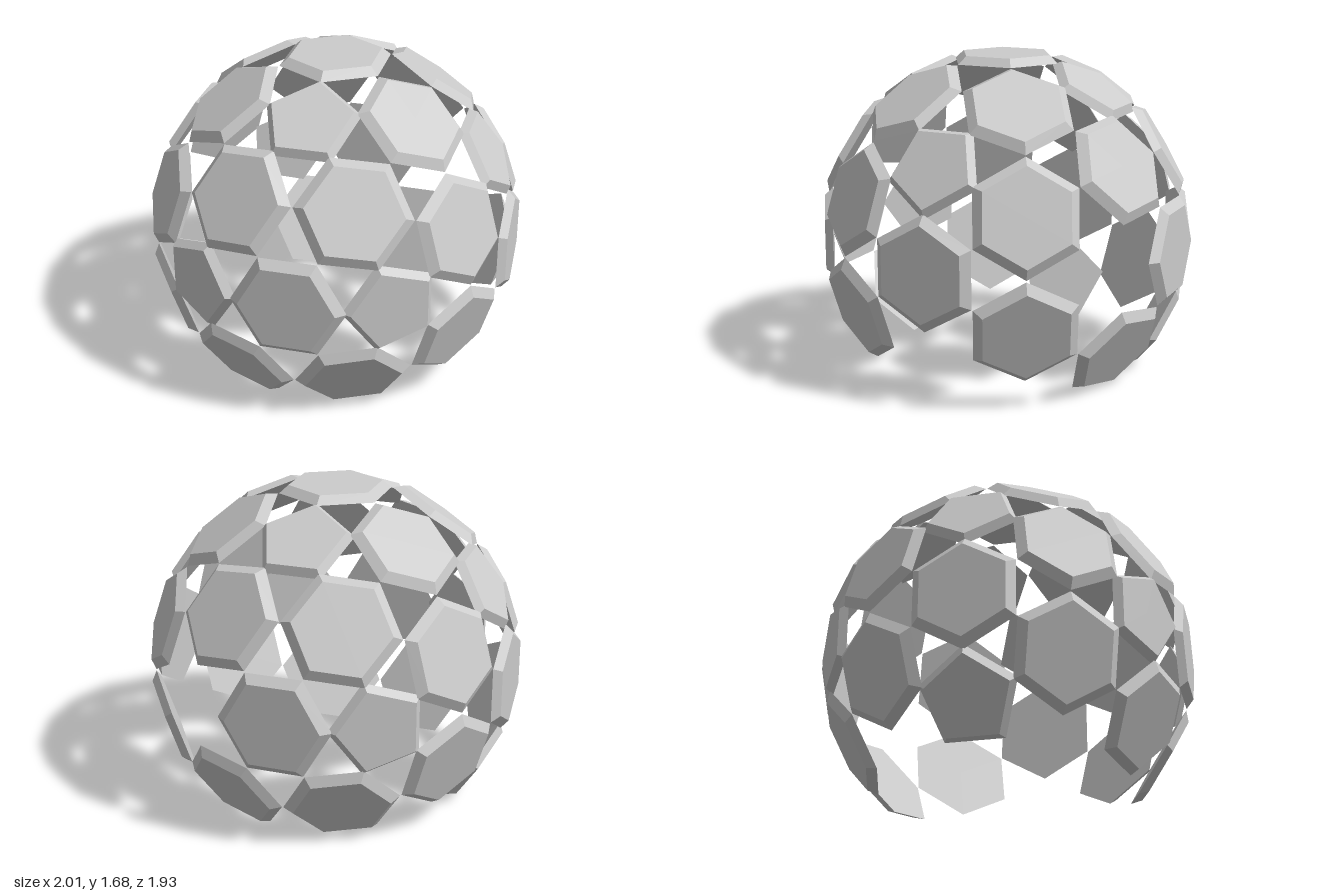
import * as THREE from 'three';

// Unit directions of the 12 pentagon centres (icosahedron) and 30 hexagon centres (edge midpoints)
function panelDirections() {
  const phi = (1 + Math.sqrt(5)) / 2;
  const turn = -Math.atan(phi); // turns a ring of ten hexagons into the x-y plane
  const pents = [];
  for (const a of [-1, 1]) for (const b of [-phi, phi]) {
    pents.push(new THREE.Vector3(a, b, 0), new THREE.Vector3(0, a, b), new THREE.Vector3(b, 0, a));
  }
  const up = new THREE.Vector3(0, 1, 0);
  pents.forEach(p => p.normalize().applyAxisAngle(up, turn));
  const hexes = [];
  pents.forEach((p, i) => pents.slice(i + 1).forEach(q => {
    if (p.dot(q) > 0.4) hexes.push(p.clone().add(q).normalize());
  }));
  return { pents, hexes };
}

// Solid bevelled plate: small face outward, one corner aimed at a neighbouring plate
function makePanel(name, geometry, material, normal, neighbours, distance) {
  const nearest = neighbours.reduce((a, b) => (b.dot(normal) > a.dot(normal) ? b : a));
  const z = nearest.clone().addScaledVector(normal, -nearest.dot(normal)).normalize();
  const x = new THREE.Vector3().crossVectors(normal, z);
  const mesh = new THREE.Mesh(geometry, material);
  mesh.name = name;
  mesh.quaternion.setFromRotationMatrix(new THREE.Matrix4().makeBasis(x, normal, z));
  mesh.position.copy(normal).multiplyScalar(distance);
  return mesh;
}

export function createModel() {
  const group = new THREE.Group();
  group.name = 'panelDome';
  const material = new THREE.MeshStandardMaterial({ color: 0xcccccc, flatShading: true });
  const { pents, hexes } = panelDirections();
  const thickness = 0.042, distance = 0.952;
  const hexGeometry = new THREE.CylinderGeometry(0.25, 0.299, thickness, 6);
  const pentGeometry = new THREE.CylinderGeometry(0.222, 0.257, thickness, 5);

  const dome = new THREE.Group();
  dome.name = 'dome';
  dome.position.y = 0.706;
  group.add(dome);

  // Hexagonal panels, open at the bottom
  hexes.filter(n => n.y > -0.6).forEach(n =>
    dome.add(makePanel('hexagonPanel', hexGeometry, material, n, pents, distance)));

  // Pentagonal panels, with two left out at the back as an opening
  const isOpening = n => n.z < -0.95 || (n.x > 0.6 && n.y < -0.4 && n.z < 0);
  pents.filter(n => n.y > -0.6 && !isOpening(n)).forEach(n =>
    dome.add(makePanel('pentagonPanel', pentGeometry, material, n, hexes, distance)));

  return group;
}
